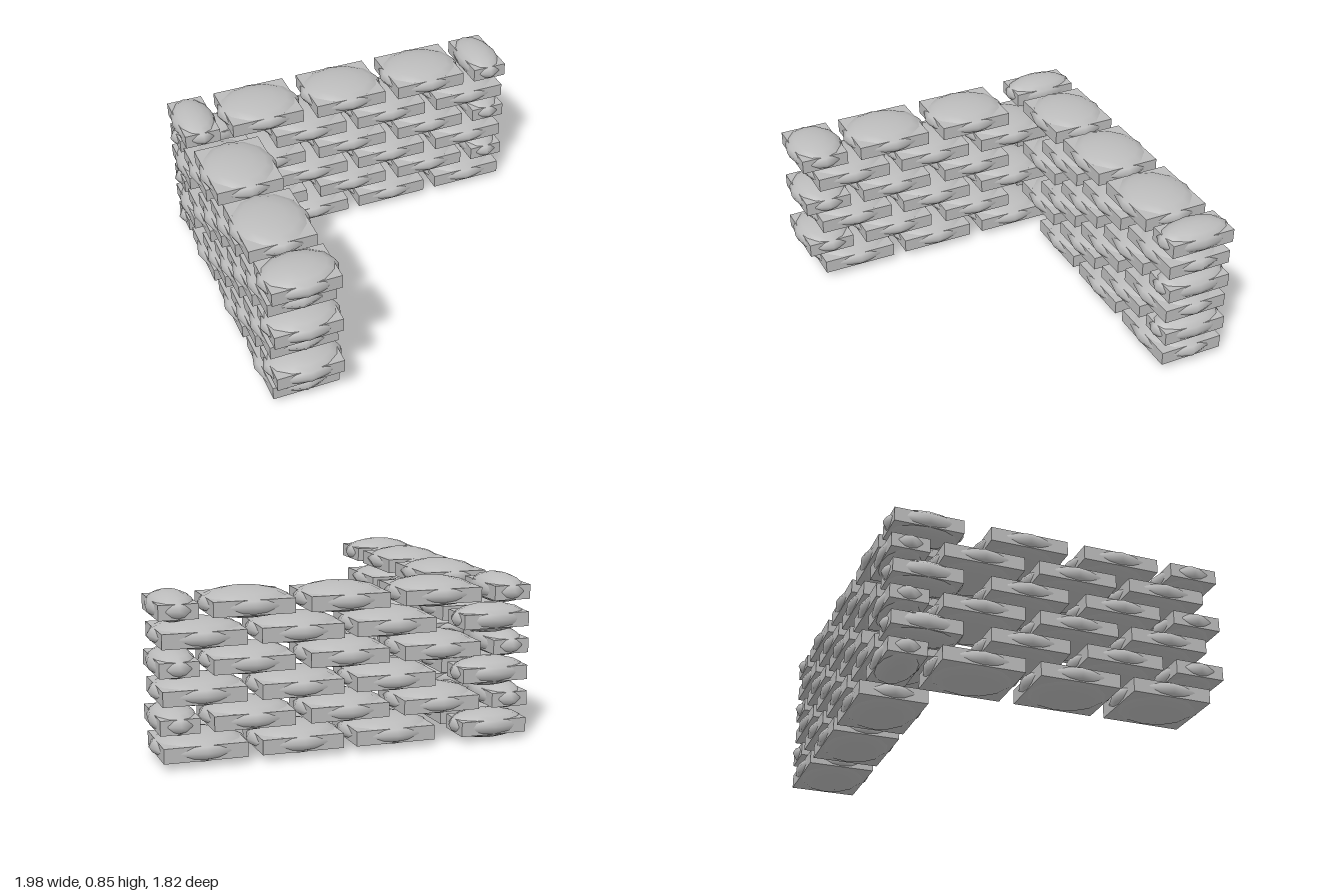
import * as THREE from 'three';

export function createModel() {
  const group = new THREE.Group();
  group.name = 'sandbagWall';
  const cloth = new THREE.MeshStandardMaterial({ color: 0xbbbbbb });
  cloth.name = 'grey cloth';

  // One bag: a bulging low-poly filling and a flat, square-cornered seam block
  const filling = new THREE.SphereGeometry(1, 12, 8);
  function addBag(name, x, y, z, halfX, halfZ) {
    const bag = new THREE.Group();
    bag.name = name;
    const bulge = new THREE.Mesh(filling, cloth);
    bulge.name = 'filling';
    bulge.scale.set(halfX, 0.076, halfZ);
    const inset = (h) => (h < 0.2 ? h * 0.82 : h * 0.855);
    const block = new THREE.Mesh(
      new THREE.BoxGeometry(inset(halfX) * 2, 0.075, inset(halfZ) * 2), cloth);
    block.name = 'seamBlock';
    block.position.y = -0.004;
    bag.add(bulge, block);
    bag.position.set(x, y, z);
    group.add(bag);
  }

  const LONG = 0.246, WIDE = 0.21, SHORT = 0.12;
  const backZ = -0.7, sideX = -0.78;

  for (let course = 0; course < 6; course++) {
    const y = 0.077 + course * 0.1395;
    if (course % 2 === 0) {
      // Courses whose corner bag closes the side wall
      for (const x of [-0.24, 0.25, 0.745]) addBag('backWallBag', x, y, backZ, LONG, WIDE);
      for (const z of [0.585, 0.09, -0.41]) addBag('sideWallBag', sideX, y, z, WIDE, LONG);
      addBag('cornerBag', sideX, y, -0.79, WIDE, SHORT);
    } else {
      // Staggered courses with short bags at the ends
      for (const x of [-0.49, 0.005, 0.497]) addBag('backWallBag', x, y, backZ, LONG - 0.005, WIDE);
      for (const z of [0.335, -0.17]) addBag('sideWallBag', sideX, y, z, WIDE, LONG - 0.005);
      addBag('cornerBag', -0.868, y, backZ, SHORT, WIDE);
      addBag('backWallEndBag', 0.872, y, backZ, SHORT, WIDE);
      addBag('sideWallEndBag', sideX, y, 0.75, WIDE, 0.16);
    }
  }
  return group;
}
